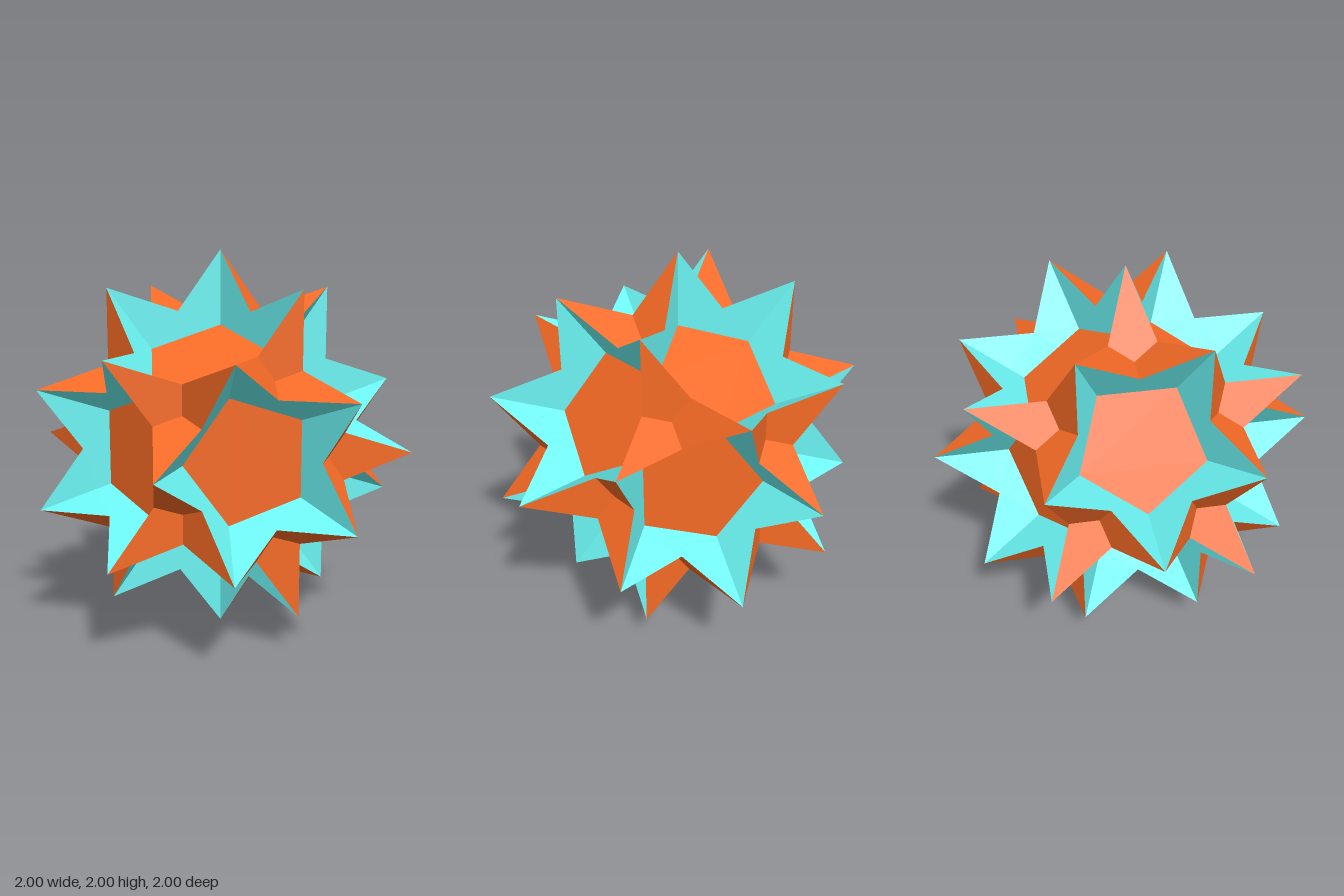
import * as THREE from 'three';

const PHI = (1 + Math.sqrt(5)) / 2;

// Flat star outline in the XY plane, first tip on +y
function starGeometry(tips, outer, notch) {
  const points = [];
  for (let i = 0; i < tips * 2; i++) {
    const a = Math.PI / 2 + (i * Math.PI) / tips;
    const r = i % 2 ? notch : outer;
    points.push(new THREE.Vector2(r * Math.cos(a), r * Math.sin(a)));
  }
  return new THREE.ShapeGeometry(new THREE.Shape(points));
}

// Place a star so its plane is square to the axis and one tip points along "up"
function placeStar(geometry, material, name, axis, up, distance) {
  const n = axis.clone().normalize();
  const y = up.clone().addScaledVector(n, -up.dot(n)).normalize();
  const x = new THREE.Vector3().crossVectors(y, n);
  const mesh = new THREE.Mesh(geometry, material);
  mesh.name = name;
  mesh.quaternion.setFromRotationMatrix(new THREE.Matrix4().makeBasis(x, y, n));
  mesh.position.copy(n).multiplyScalar(distance);
  return mesh;
}

export function createModel() {
  const group = new THREE.Group();
  group.name = 'starPolyhedron';

  const orange = new THREE.MeshStandardMaterial({ color: 0xf56a25, side: THREE.DoubleSide, flatShading: true });
  const cyan = new THREE.MeshStandardMaterial({ color: 0x6bf4f3, side: THREE.DoubleSide, flatShading: true });

  // Five-pointed faces sit off centre, ten-pointed faces pass through the centre
  const offset = 1 / Math.sqrt(1 + PHI * PHI);
  const radius = Math.sqrt(1 - offset * offset);
  const pentagram = starGeometry(5, radius, radius / (PHI * PHI));
  const decagram = starGeometry(10, 1, Math.cos(0.3 * Math.PI) / Math.cos(0.2 * Math.PI));

  const body = new THREE.Group();
  body.name = 'body';
  body.position.y = 1;
  group.add(body);

  // Six five-fold axes: (1, 0, +-phi) with the coordinates cycled
  for (let c = 0; c < 3; c++) {
    const vec = (a, b, d) => {
      const v = new THREE.Vector3();
      [a, b, d].forEach((value, i) => v.setComponent((i + c) % 3, value));
      return v;
    };
    for (const s of [1, -1]) {
      const axis = vec(1, 0, s * PHI);
      body.add(placeStar(decagram, cyan, 'tenPointFace', axis, vec(0, 1, 0), 0));
      // Opposite pair of five-pointed faces
      for (const side of [1, -1]) {
        body.add(placeStar(pentagram, orange, 'fivePointFace',
          axis.clone().multiplyScalar(side), vec(side, 0, 0), offset));
      }
    }
  }
  return group;
}
